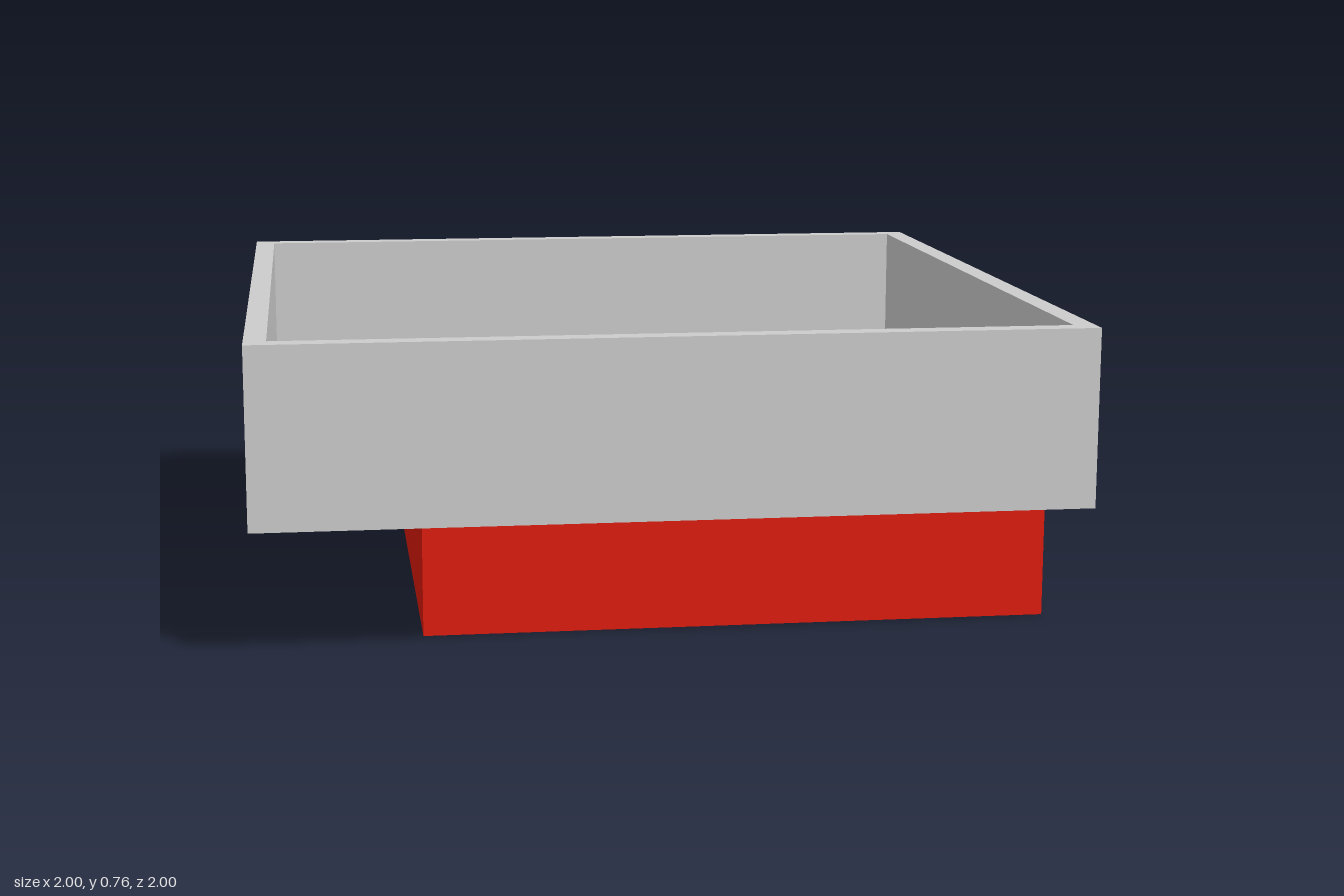
import * as THREE from 'three';

const OUT = 1, IN = 0.947;                  // half sizes of the frame, outside and inside
const RIM_Y = 0.322, TOP_Y = 0.757, LEDGE_Y = 0.352;
const PIT_X = -0.593, PIT_Z = 0.77;         // pit runs from PIT_X to IN, and +-PIT_Z

const grey = new THREE.MeshStandardMaterial({ color: 0xcccccc, side: THREE.DoubleSide });
const red = new THREE.MeshStandardMaterial({ color: 0xdd1a0c, side: THREE.DoubleSide });

const polygon = (Type, points) => new Type(points.map(([x, y]) => new THREE.Vector2(x, y)));
const square = (r) => [[-r, -r], [r, -r], [r, r], [-r, r]];

export function createModel() {
  const model = new THREE.Group();
  model.name = 'sunkenTray';
  const add = (name, geometry, material, x, y, z) => {
    const mesh = new THREE.Mesh(geometry, material);
    mesh.name = name;
    mesh.position.set(x, y, z);
    model.add(mesh);
  };

  // Square frame, open at top and bottom
  const outline = polygon(THREE.Shape, square(OUT));
  outline.holes.push(polygon(THREE.Path, square(IN)));
  const frame = new THREE.ExtrudeGeometry(outline, { depth: TOP_Y - RIM_Y, bevelEnabled: false });
  add('frame', frame.rotateX(-Math.PI / 2), grey, 0, RIM_Y, 0);

  // Thin U-shaped ledge around three sides of the pit
  const ledge = polygon(THREE.Shape, [
    [-IN, -IN], [IN, -IN], [IN, -PIT_Z], [PIT_X, -PIT_Z],
    [PIT_X, PIT_Z], [IN, PIT_Z], [IN, IN], [-IN, IN],
  ]);
  add('ledge', new THREE.ShapeGeometry(ledge).rotateX(-Math.PI / 2), red, 0, LEDGE_Y, 0);

  // Thin pit walls and floor
  const width = IN - PIT_X, midX = (IN + PIT_X) / 2;
  for (const [name, side] of [['frontPitWall', 1], ['backPitWall', -1]]) {
    const wall = new THREE.PlaneGeometry(width, LEDGE_Y);
    if (side < 0) wall.rotateY(Math.PI);
    add(name, wall, red, midX, LEDGE_Y / 2, side * PIT_Z);
  }
  add('rightPitWall', new THREE.PlaneGeometry(2 * PIT_Z, LEDGE_Y).rotateY(-Math.PI / 2), red,
    PIT_X, LEDGE_Y / 2, 0);
  add('leftPitWall', new THREE.PlaneGeometry(2 * PIT_Z, RIM_Y).rotateY(Math.PI / 2), grey,
    IN, RIM_Y / 2, 0);
  add('pitFloor', new THREE.PlaneGeometry(width, 2 * PIT_Z).rotateX(-Math.PI / 2), grey, midX, 0, 0);

  // Small step on the flush wall
  add('step', new THREE.BoxGeometry(0.1, LEDGE_Y - RIM_Y, 0.2), grey,
    IN - 0.05, (LEDGE_Y + RIM_Y) / 2, 0);

  return model;
}
